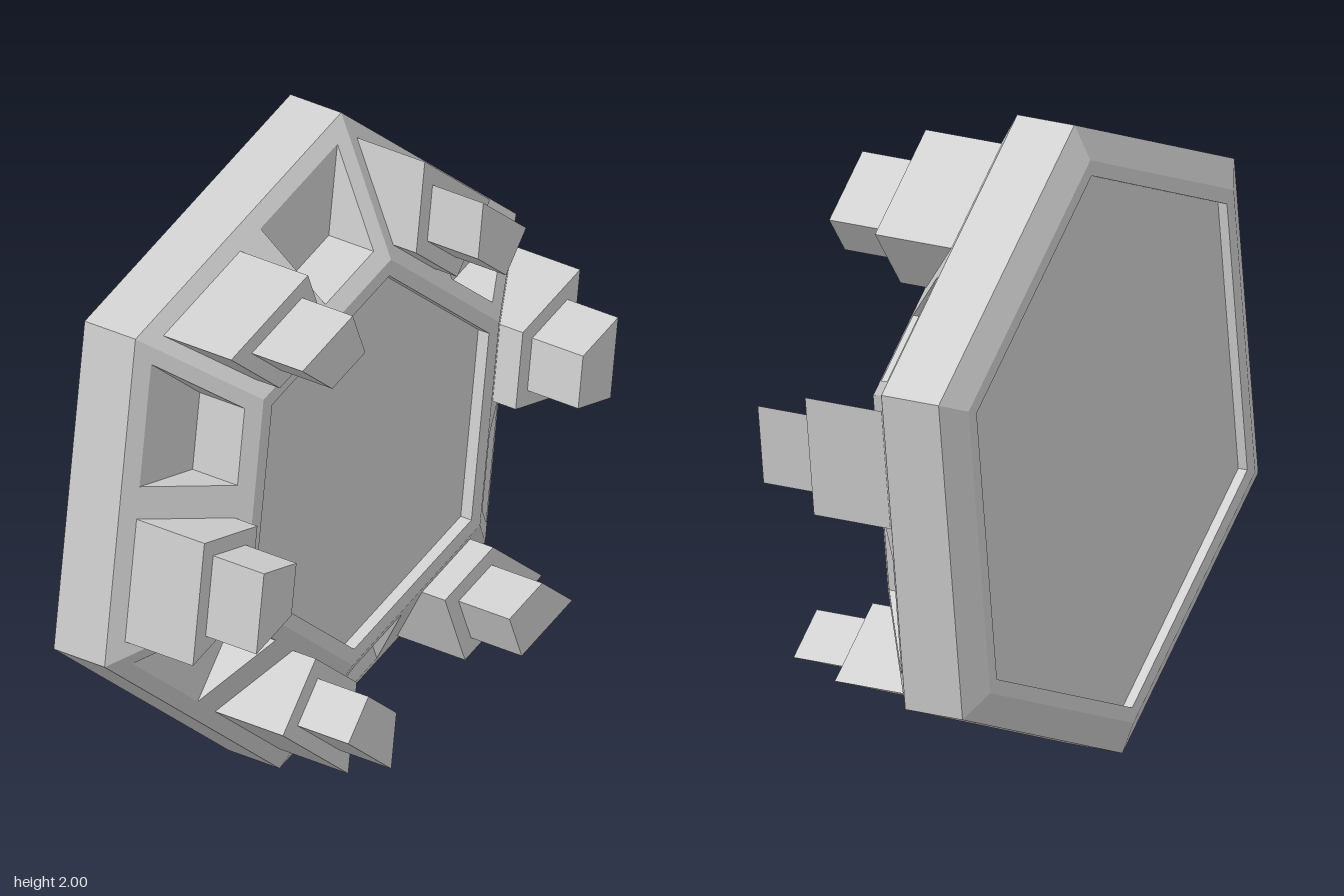
import * as THREE from 'three';

const T30 = Math.tan(Math.PI / 6), C30 = Math.cos(Math.PI / 6);
const R_OUT = 1.01, R_IN = 0.625;          // corner radii of the sloped ring
const Z_OUT = -0.12, Z_IN = 0.11;          // heights of its outer and inner edge
const V_OUT = R_OUT * C30, V_IN = R_IN * C30;
const slopeZ = v => Z_OUT + (V_OUT - v) * (Z_IN - Z_OUT) / (V_OUT - V_IN);

// Half of one side's trapezoid, inset all round; x is radial, y runs along the side
function insetHalf(edge, middle) {
  const v0 = V_OUT - edge, v1 = V_IN + edge;
  const u = v => v * T30 - edge / C30;
  return [[v0, middle], [v0, u(v0)], [v1, u(v1)], [v1, middle]];
}
const toShape = pts => new THREE.Shape(pts.map(p => new THREE.Vector2(...p)));

// Six-sided band or disc revolved about the z axis
function hexLathe(points) {
  const g = new THREE.LatheGeometry(points.map(p => new THREE.Vector2(...p)), 6);
  g.rotateX(Math.PI / 2);
  return g;
}

// Straight-walled pocket: flat floor level with the outer edge, open at the slope
function pocketGeometry(pts, floorZ) {
  const pos = [];
  pts.forEach(([x, y]) => pos.push(x, y, floorZ));
  pts.forEach(([x, y]) => pos.push(x, y, slopeZ(x)));
  const idx = [0, 1, 2, 0, 2, 3];
  for (const i of [0, 1, 3]) {
    const j = (i + 1) % 4;
    idx.push(i, j + 4, j, i, i + 4, j + 4);
  }
  const g = new THREE.BufferGeometry();
  g.setAttribute('position', new THREE.Float32BufferAttribute(pos, 3));
  g.setIndex(idx);
  g.computeVertexNormals();
  return g;
}

function prism(pts, z0, z1) {
  const g = new THREE.ExtrudeGeometry(toShape(pts), { depth: z1 - z0, bevelEnabled: false });
  g.translate(0, 0, z0);
  return g;
}

export function createModel() {
  const model = new THREE.Group();
  model.name = 'hexagonalPlate';
  const mat = new THREE.MeshStandardMaterial({ color: 0xcccccc, flatShading: true });
  const add = (parent, name, geometry) => {
    const m = new THREE.Mesh(geometry, mat);
    m.name = name;
    parent.add(m);
    return m;
  };

  const body = new THREE.Group();
  body.name = 'body';
  body.position.y = 1;
  model.add(body);

  // Recessed back, chamfer and outer wall
  const twist = THREE.MathUtils.degToRad(52);
  add(body, 'backShell', hexLathe([
    [0, -0.325], [0.855, -0.325], [0.855, -0.355], [0.905, -0.355], [R_OUT, -0.31], [R_OUT, Z_OUT],
  ])).rotation.z = twist;
  // Front rim and sunken centre panel
  add(body, 'frontPanel', hexLathe([
    [R_IN, Z_IN], [0.575, Z_IN], [0.575, 0.07], [0, 0.07],
  ])).rotation.z = twist;

  // Outlines of the lower block, upper block and pocket
  const lower = insetHalf(0.045, 0.05);
  const upper = insetHalf(0.092, 0.098);
  const pocket = lower.map(([x, y]) => [x, -y]).reverse();
  const baseZ = slopeZ(lower[0][0]);

  // Sloped side face with a hole for the pocket
  const faceShape = toShape([
    [V_OUT, -R_OUT / 2], [V_OUT, R_OUT / 2], [V_IN, R_IN / 2], [V_IN, -R_IN / 2],
  ]);
  faceShape.holes.push(new THREE.Path(pocket.map(p => new THREE.Vector2(...p))));
  const slope = new THREE.ShapeGeometry(faceShape);
  const p = slope.attributes.position;
  for (let i = 0; i < p.count; i++) p.setZ(i, slopeZ(p.getX(i)));
  slope.computeVertexNormals();

  const pocketGeo = pocketGeometry(pocket, baseZ);
  const lowerGeo = prism(lower, baseZ, 0.165);
  const upperGeo = prism(upper, 0.165, 0.355);

  // Six equal sides
  for (let k = 0; k < 6; k++) {
    const side = new THREE.Group();
    side.name = `side${k + 1}`;
    side.rotation.z = THREE.MathUtils.degToRad(112 + 60 * k);
    add(side, 'slopedFace', slope);
    add(side, 'pocket', pocketGeo);
    add(side, 'lowerBlock', lowerGeo);
    add(side, 'upperBlock', upperGeo);
    body.add(side);
  }
  return model;
}
